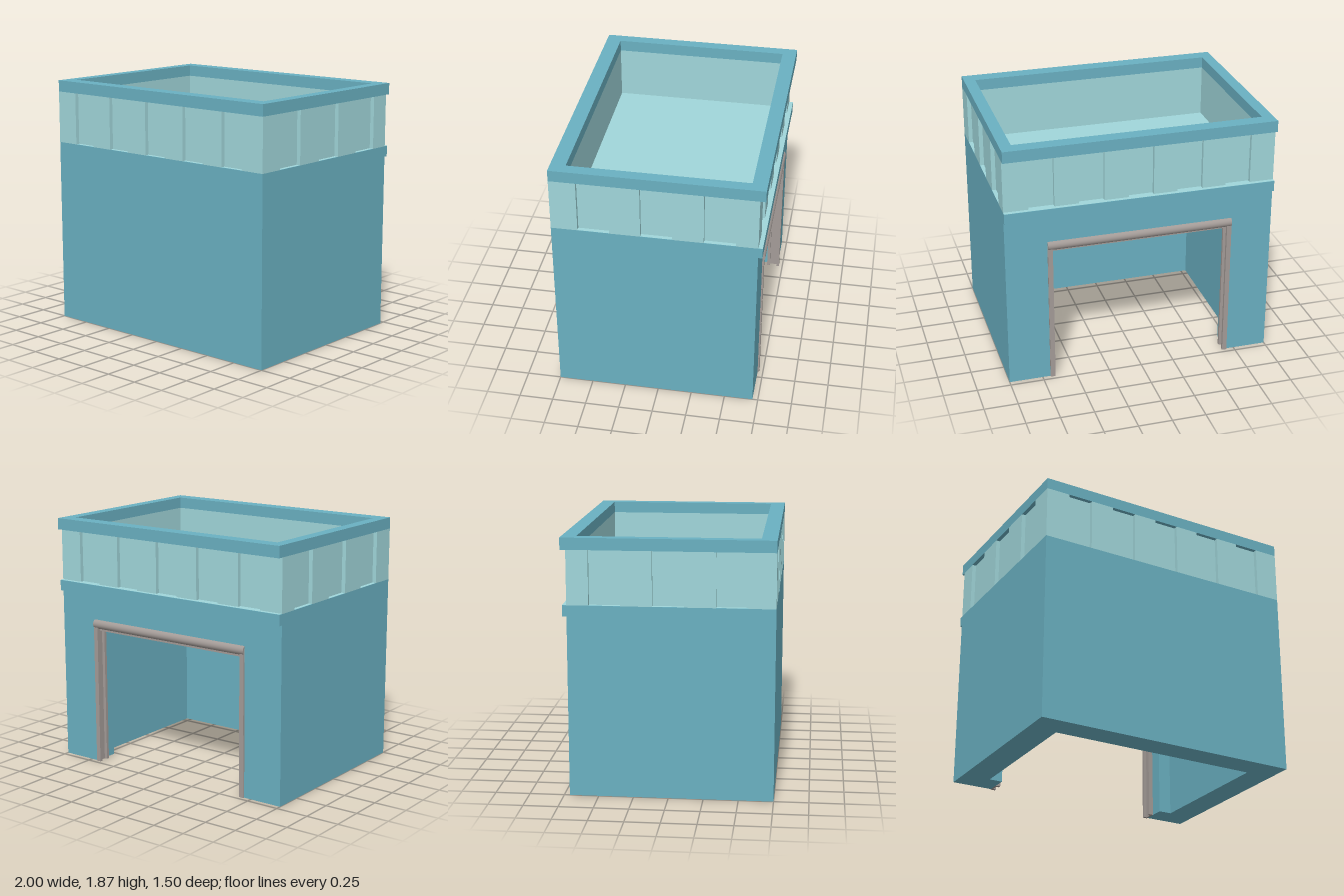
import * as THREE from 'three';

const teal = new THREE.MeshStandardMaterial({ color: 0x6ab0c1 });
const pale = new THREE.MeshStandardMaterial({ color: 0xa0d6da });
const metal = new THREE.MeshStandardMaterial({ color: 0xa39b97 });
const grey = new THREE.MeshStandardMaterial({ color: 0xcccccc });

function add(parent, name, geometry, material) {
  const mesh = new THREE.Mesh(geometry, material);
  mesh.name = name;
  parent.add(mesh);
  return mesh;
}

// box given by its limits on each axis
function box(parent, name, [x0, x1], [y0, y1], [z0, z1], material) {
  const mesh = add(parent, name, new THREE.BoxGeometry(x1 - x0, y1 - y0, z1 - z0), material);
  mesh.position.set((x0 + x1) / 2, (y0 + y1) / 2, (z0 + z1) / 2);
  return mesh;
}

const toPoints = (list) => list.map(([x, z]) => new THREE.Vector2(x, z));
const rectangle = (x0, x1, z0, z1) => toPoints([[x0, z0], [x1, z0], [x1, z1], [x0, z1]]);

// floor plan (x, z) raised from y0 to y1
function plan(parent, name, outline, hole, y0, y1, material) {
  const shape = new THREE.Shape(outline);
  if (hole) shape.holes.push(new THREE.Path(hole));
  const geometry = new THREE.ExtrudeGeometry(shape, { depth: y1 - y0, bevelEnabled: false });
  geometry.rotateX(Math.PI / 2).translate(0, y1, 0);
  return add(parent, name, geometry, material);
}

// outline of the parapet with shallow recesses along all four sides
function recessedOutline() {
  const depth = 0.03;
  const wide = [-0.727, -0.364, 0, 0.364, 0.727]; // recess centres along x
  const deep = [-0.443, 0.002, 0.447]; // recess centres along z
  const points = [];
  const side = (corner, centres, half, place) => {
    points.push(corner);
    for (const c of centres) {
      points.push(place(c - half, 0), place(c - half, depth), place(c + half, depth), place(c + half, 0));
    }
  };
  const back = -0.71, front = 0.75;
  side([-1, back], wide, 0.093, (t, d) => [t, back + d]);
  side([1, back], deep, 0.112, (t, d) => [1 - d, t]);
  side([1, front], wide, 0.093, (t, d) => [-t, front - d]);
  side([-1, front], deep.map((c) => -c).reverse(), 0.112, (t, d) => [-1 + d, -t]);
  return toPoints(points);
}

export function createModel() {
  const model = new THREE.Group();
  model.name = 'garage';

  // room walls, open at the back for the doorway
  const outline = toPoints([
    [-0.69, -0.71], [-1, -0.71], [-1, 0.75], [1, 0.75], [1, -0.71], [0.69, -0.71],
    [0.69, -0.52], [0.79, -0.52], [0.79, 0.55], [-0.79, 0.55], [-0.79, -0.52], [-0.69, -0.52],
  ]);
  plan(model, 'walls', outline, null, 0, 1.39, teal);
  box(model, 'lintel', [-0.69, 0.69], [1.12, 1.39], [-0.71, -0.52], teal);
  box(model, 'ceiling', [-0.79, 0.79], [1.31, 1.388], [-0.52, 0.55], teal);
  box(model, 'ledge', [-1, 1], [1.31, 1.39], [-0.74, -0.705], teal);

  // roof terrace: floor, recessed parapet, cap
  const floor = add(model, 'roofFloor', new THREE.PlaneGeometry(2, 1.49).rotateX(-Math.PI / 2), pale);
  floor.position.set(0, 1.392, 0.005);
  plan(model, 'parapet', recessedOutline(), rectangle(-0.915, 0.915, -0.645, 0.64), 1.39, 1.78, pale);
  plan(model, 'parapetCap', rectangle(-1, 1, -0.75, 0.75), rectangle(-0.915, 0.915, -0.645, 0.64), 1.78, 1.865, teal);

  // shutter guide rails, channels on both sides of the doorway
  for (const s of [-1, 1]) {
    const rail = new THREE.Group();
    rail.name = s > 0 ? 'leftGuideRail' : 'rightGuideRail';
    model.add(rail);
    const span = (a, b) => (s > 0 ? [a, b] : [-b, -a]);
    box(rail, 'railBase', span(0.678, 0.692), [0, 1.1], [-0.715, -0.625], metal);
    for (const z of [-0.722, -0.645]) {
      box(rail, 'railFlange', span(0.655, 0.69), [0, 1.1], [z, z + 0.022], metal);
    }
  }

  // rolled shutter under the lintel
  const shutter = new THREE.Group();
  shutter.name = 'rolledShutter';
  model.add(shutter);
  const roll = add(shutter, 'shutterRoll', new THREE.CylinderGeometry(0.036, 0.036, 1.38, 24), metal);
  roll.rotation.z = Math.PI / 2;
  roll.position.set(0, 1.085, -0.695);
  box(shutter, 'shutterHousing', [-0.685, 0.685], [1.06, 1.12], [-0.69, -0.625], metal);
  box(shutter, 'shutterEdge', [-0.665, 0.665], [1.03, 1.07], [-0.685, -0.66], metal);

  // hanging lamp
  const bulb = [[0, 0], [0.014, 0.003], [0.023, 0.013], [0.025, 0.025], [0.02, 0.038], [0.012, 0.052], [0.01, 0.085]];
  const lamp = add(model, 'ceilingLamp', new THREE.LatheGeometry(toPoints(bulb), 20), grey);
  lamp.position.set(0, 1.225, 0.02);

  return model;
}
